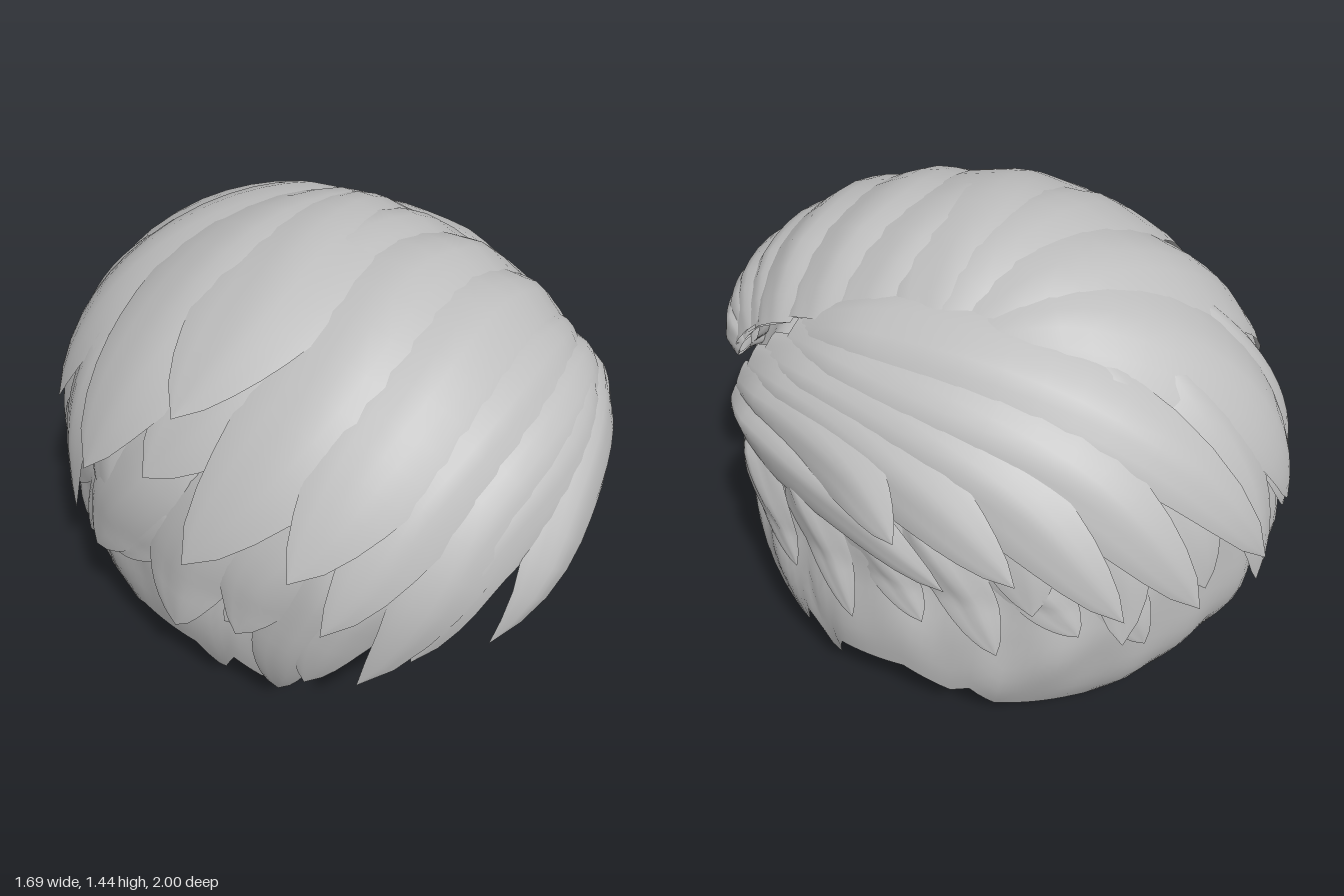
import * as THREE from 'three';
import { toCreasedNormals } from 'three/addons/utils/BufferGeometryUtils.js';

const rad = THREE.MathUtils.degToRad;
const hair = new THREE.MeshStandardMaterial({ color: 0xbebebe, side: THREE.DoubleSide });
hair.name = 'hair grey';

// Head form: unit direction -> point, lifted off the scalp
function onHead(d, lift) {
  const k = 1 + lift, low = Math.max(0, -d.y);
  return new THREE.Vector3(
    d.x * 0.76 * k * (1 + (d.x > 0 ? 0.33 : 0.15) * low),
    0.6 + d.y * (d.y > 0 ? 0.78 : 0.85) * k,
    d.z * (d.z > 0 ? 0.88 : 0.93) * k);
}
// Approximate point -> unit direction
function toDir([x, y, z]) {
  return new THREE.Vector3(x / 0.76, (y - 0.6) / (y > 0.6 ? 0.78 : 0.85), z / 0.9).normalize();
}
function polar(az, el) {
  const a = rad(az), e = rad(el);
  return new THREE.Vector3(Math.cos(e) * Math.sin(a), Math.sin(e), Math.cos(e) * Math.cos(a));
}

// Indexed grid of points; flip turns the faces round
function grid(rows, cols, point, flip = false) {
  const pos = [], idx = [];
  for (let i = 0; i <= rows; i++) for (let j = 0; j <= cols; j++) pos.push(...point(i / rows, j / cols).toArray());
  const n = cols + 1;
  for (let i = 0; i < rows; i++) for (let j = 0; j < cols; j++) {
    const a = i * n + j, b = a + 1, c = a + n, d = c + 1;
    if (flip) idx.push(a, c, b, b, c, d);
    else idx.push(a, b, c, b, d, c);
  }
  const g = new THREE.BufferGeometry();
  g.setAttribute('position', new THREE.Float32BufferAttribute(pos, 3));
  g.setIndex(idx);
  g.computeVertexNormals();
  return g;
}

// Hairline: azimuth from the front (towards +x), height
const hairline = [[-180, 0.02], [-165, 0.03], [-150, 0.06], [-130, 0.11], [-112, 0.17], [-100, 0.28], [-84, 0.27],
  [-79, 0.13], [-74, 0.28], [-68, 0.2], [-60, 0.22], [-53, 0.42], [-46, 0.66], [-20, 0.8], [0, 0.85], [25, 0.88],
  [38, 0.83], [46, 0.75], [49, 0.55], [54, 0.37], [59, 0.22], [69, 0.2], [73, 0.33], [77, 0.11], [82, 0.25],
  [98, 0.28], [108, 0.2], [112, 0.23], [118, 0.12], [136, 0.12], [150, 0.06], [165, 0.03], [180, 0.02]];
function edgeElevation(az) {
  let i = 0;
  while (i < hairline.length - 2 && hairline[i + 1][0] < az) i++;
  const [a0, y0] = hairline[i], [a1, y1] = hairline[i + 1];
  const y = y0 + (y1 - y0) * (az - a0) / (a1 - a0);
  return THREE.MathUtils.radToDeg(Math.asin((y - 0.6) / (y > 0.6 ? 0.78 : 0.85)));
}

// Cap: tufted outside, thin rim and smooth lining
function makeCap() {
  return toCreasedNormals(grid(60, 180, (t, s) => {
    const az = -180 + 360 * s, outer = t <= 0.5;
    const down = outer ? t * 2 : (1 - t) * 2;
    const el = 90 - down * (90 - edgeElevation(az));
    const a = rad(az);
    const tuft = Math.sin(11 * a + 9 * down) * Math.sin(17 * down + 2 * Math.sin(3 * a)) + 0.6 * Math.sin(23 * a - 14 * down);
    const fade = Math.min(1, (1 - down) * 6);
    return onHead(polar(az, el), outer ? 0.012 * tuft * fade + 0.01 : -0.015 - 0.08 * (1 - down));
  }, true), 0.8);
}

// Pointed lock lying along a path of directions; under sets how deep its underside hangs
function addLock(parent, name, dirs, width, lift0, lift1, thick = 0.06, under = 0.35) {
  const curve = new THREE.CatmullRomCurve3(dirs);
  const surface = (top) => grid(16, 8, (u, s) => {
    const v = s * 2 - 1;
    const d = curve.getPoint(u).normalize();
    const side = curve.getTangent(u).cross(d).normalize();
    const w = width * Math.min(1, 0.4 + 2 * u) * Math.pow(1 - Math.pow(u, 3), 0.8);
    const p = d.clone().addScaledVector(side, w * v).normalize();
    const puff = 0.17 * Math.pow(Math.max(0, p.z), 1.5) * THREE.MathUtils.smoothstep(p.y, -0.6, 0.25);
    const round = (1 - v * v) * (1 - u * u) * Math.min(1, 0.15 + 5 * u);
    const body = (thick + 0.008 * Math.sin(v * 6 + u * 3)) * round;
    const lift = lift0 + (lift1 - lift0) * u * u + puff;
    return onHead(p, top ? lift + body : lift - under * body);
  }, !top);
  const lock = new THREE.Group();
  lock.name = name;
  for (const top of [true, false]) {
    const m = new THREE.Mesh(surface(top), hair);
    m.name = name + (top ? 'Outside' : 'Underside');
    lock.add(m);
  }
  parent.add(lock);
}

// Each lock: path points, half width, root lift, tip lift, thickness, underside depth
const fringe = [
  [[[0.42, 0.98, 0.62], [0.2, 0.99, 0.75], [-0.08, 0.87, 0.8], [-0.3, 0.55, 0.74]], 0.19, -0.02, 0.05, 0.07, 2],
  [[[0.3, 1.02, 0.66], [0.0, 1.0, 0.78], [-0.34, 0.82, 0.72], [-0.46, 0.52, 0.66]], 0.18, 0.0, 0.06, 0.06, 2],
  [[[0.42, 1.0, 0.62], [0.1, 1.06, 0.75], [-0.33, 0.88, 0.7], [-0.57, 0.42, 0.6]], 0.2, 0.0, 0.09, 0.06, 1.5],
  [[[0.43, 0.96, 0.64], [0.3, 0.97, 0.75], [0.1, 0.94, 0.8], [-0.14, 0.74, 0.82]], 0.13, -0.02, 0.02, 0.06, 2],
  [[[-0.1, 1.05, 0.7], [-0.45, 0.84, 0.66], [-0.6, 0.6, 0.55], [-0.64, 0.32, 0.48]], 0.17, 0.0, 0.05, 0.06, 1.2],
  [[[0.42, 1.04, 0.58], [0.05, 1.15, 0.68], [-0.4, 0.98, 0.64], [-0.64, 0.64, 0.52]], 0.2, 0.0, 0.12, 0.06, 0.8],
];
const sweep = [
  [[[0.44, 1.08, 0.5], [0.05, 1.26, 0.55], [-0.42, 1.08, 0.54], [-0.69, 0.8, 0.46]], 0.24, 0.01, 0.15],
  [[[0.44, 1.14, 0.36], [0.0, 1.36, 0.36], [-0.5, 1.12, 0.36], [-0.77, 0.74, 0.17]], 0.28, 0.01, 0.15],
  [[[0.42, 1.18, 0.2], [0.0, 1.38, 0.14], [-0.5, 1.13, 0.12], [-0.75, 0.9, -0.02]], 0.3, 0.01, 0.11],
  [[[0.42, 1.2, 0.0], [0.0, 1.38, -0.08], [-0.48, 1.15, -0.14], [-0.76, 0.82, -0.24]], 0.32, 0.01, 0.14],
  [[[0.4, 1.22, 0.0], [0.0, 1.38, 0.04], [-0.36, 1.26, 0.08], [-0.64, 1.06, 0.04]], 0.3, 0.02, 0.15],
  [[[0.38, 1.22, -0.1], [0.05, 1.34, -0.3], [-0.32, 1.12, -0.48], [-0.56, 0.78, -0.6]], 0.34, 0.01, 0.07],
  [[[0.38, 1.22, -0.1], [0.16, 1.26, -0.45], [-0.04, 1.0, -0.78], [-0.12, 0.62, -0.93]], 0.33, 0.01, 0.05],
];
const sideLeft = [
  [[[0.46, 1.12, 0.38], [0.46, 1.18, 0.0], [0.38, 1.1, -0.5], [0.14, 0.6, -0.93]], 0.24, 0.0, 0.08],
  [[[0.48, 1.1, 0.42], [0.55, 1.1, 0.0], [0.5, 0.96, -0.5], [0.38, 0.58, -0.8]], 0.22, 0.0, 0.1],
  [[[0.5, 1.03, 0.5], [0.61, 1.06, 0.08], [0.62, 0.92, -0.38], [0.54, 0.62, -0.64]], 0.2, 0.0, 0.13],
  [[[0.5, 0.97, 0.55], [0.64, 1.02, 0.18], [0.69, 0.92, -0.15], [0.68, 0.74, -0.42]], 0.19, 0.0, 0.14],
  [[[0.51, 0.91, 0.58], [0.65, 0.97, 0.3], [0.72, 0.92, 0.05], [0.75, 0.8, -0.13]], 0.17, 0.0, 0.15],
  [[[0.53, 0.86, 0.6], [0.67, 0.87, 0.35], [0.74, 0.8, 0.05], [0.74, 0.66, -0.25]], 0.15, 0.0, 0.08],
];
const sideRight = [
  [[[-0.3, 1.12, 0.55], [-0.54, 0.92, 0.48], [-0.7, 0.7, 0.36], [-0.74, 0.5, 0.3]], 0.19, 0.0, 0.06],
  [[[-0.5, 1.05, 0.3], [-0.68, 0.85, 0.2], [-0.76, 0.6, 0.1], [-0.74, 0.42, 0.08]], 0.2, 0.0, 0.07],
  [[[-0.5, 1.05, 0.1], [-0.7, 0.85, -0.05], [-0.74, 0.65, -0.2], [-0.7, 0.48, -0.28]], 0.2, 0.0, 0.06],
  [[[-0.5, 0.95, 0.48], [-0.6, 0.75, 0.5], [-0.66, 0.45, 0.42], [-0.62, 0.15, 0.36]], 0.16, 0.0, 0.03],
];

export function createModel() {
  const model = new THREE.Group();
  model.name = 'hairpiece';
  const body = new THREE.Group();
  body.name = 'hair';
  model.add(body);

  const cap = new THREE.Mesh(makeCap(), hair);
  cap.name = 'cap';
  body.add(cap);

  const sets = { fringeLock: fringe, sweepLock: sweep, leftLock: sideLeft, rightLock: sideRight };
  for (const [name, locks] of Object.entries(sets)) {
    for (const [pts, ...shape] of locks) addLock(body, name, pts.map(toDir), ...shape);
  }

  // Ring of tips round the back
  for (let i = 0; i < 9; i++) {
    const az = 118 + i * 17, odd = i % 2;
    addLock(body, 'backLock', [polar(az - 8, 58), polar(az - 4, 38), polar(az, 16), polar(az + 3, odd ? -8 : -1)],
      0.19, 0.0, 0.04 + 0.02 * odd, 0.045);
  }
  // Short tufts under the side locks
  for (const s of [1, -1]) for (let i = 0; i < 6; i++) {
    const az = 66 + i * 14;
    addLock(body, 'sideTuft', [polar(s * (az - 10), 18), polar(s * (az - 1), 5), polar(s * (az + 8), -6 - 5 * (i % 2))],
      0.12, 0.0, 0.035, 0.03);
  }

  // Stand on the floor and centre
  const box = new THREE.Box3().setFromObject(body);
  const mid = box.getCenter(new THREE.Vector3());
  body.position.set(-mid.x, -box.min.y, -mid.z);
  return model;
}
